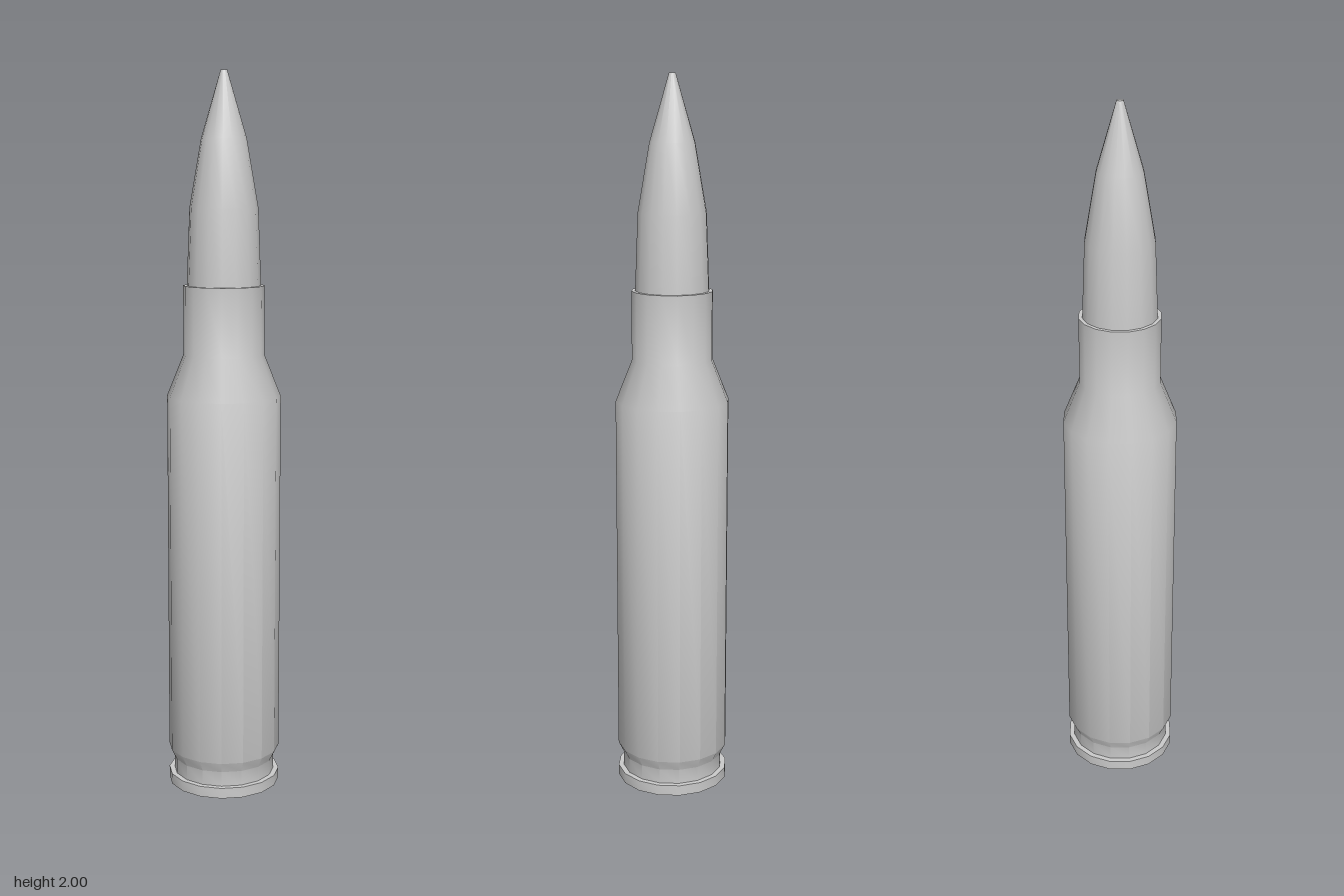
import * as THREE from 'three';
import { toCreasedNormals } from 'three/addons/utils/BufferGeometryUtils.js';

const SIDES = 16;
const material = new THREE.MeshStandardMaterial({ color: 0xcccccc });

// Turn a [radius, height] profile, listed bottom to top along the outside
function turned(name, profile) {
  const points = profile.map(([r, y]) => new THREE.Vector2(r, y));
  const geometry = toCreasedNormals(new THREE.LatheGeometry(points, SIDES), 0.55);
  const mesh = new THREE.Mesh(geometry, material);
  mesh.name = name;
  return mesh;
}

export function createModel() {
  const group = new THREE.Group();
  group.name = 'cartridge';

  // Case: primer pocket, rim, extractor groove, body, shoulder, neck and mouth
  group.add(turned('case', [
    [0.08, 0.012], [0.08, 0], [0.158, 0], [0.158, 0.03],
    [0.143, 0.03], [0.143, 0.072], [0.158, 0.102],
    [0.158, 1.12], [0.112, 1.235], [0.112, 1.425],
    [0.102, 1.425], [0.102, 1.4],
  ]));

  // Primer: flat disc set slightly into the base
  group.add(turned('primer', [[0, 0.004], [0.072, 0.004], [0.08, 0.012]]));

  // Bullet: tapered shank, curved nose and small flat tip
  group.add(turned('bullet', [
    [0.103, 1.4], [0.102, 1.425], [0.094, 1.635], [0.062, 1.82],
    [0.012, 1.99], [0.009, 2], [0, 2],
  ]));

  return group;
}
